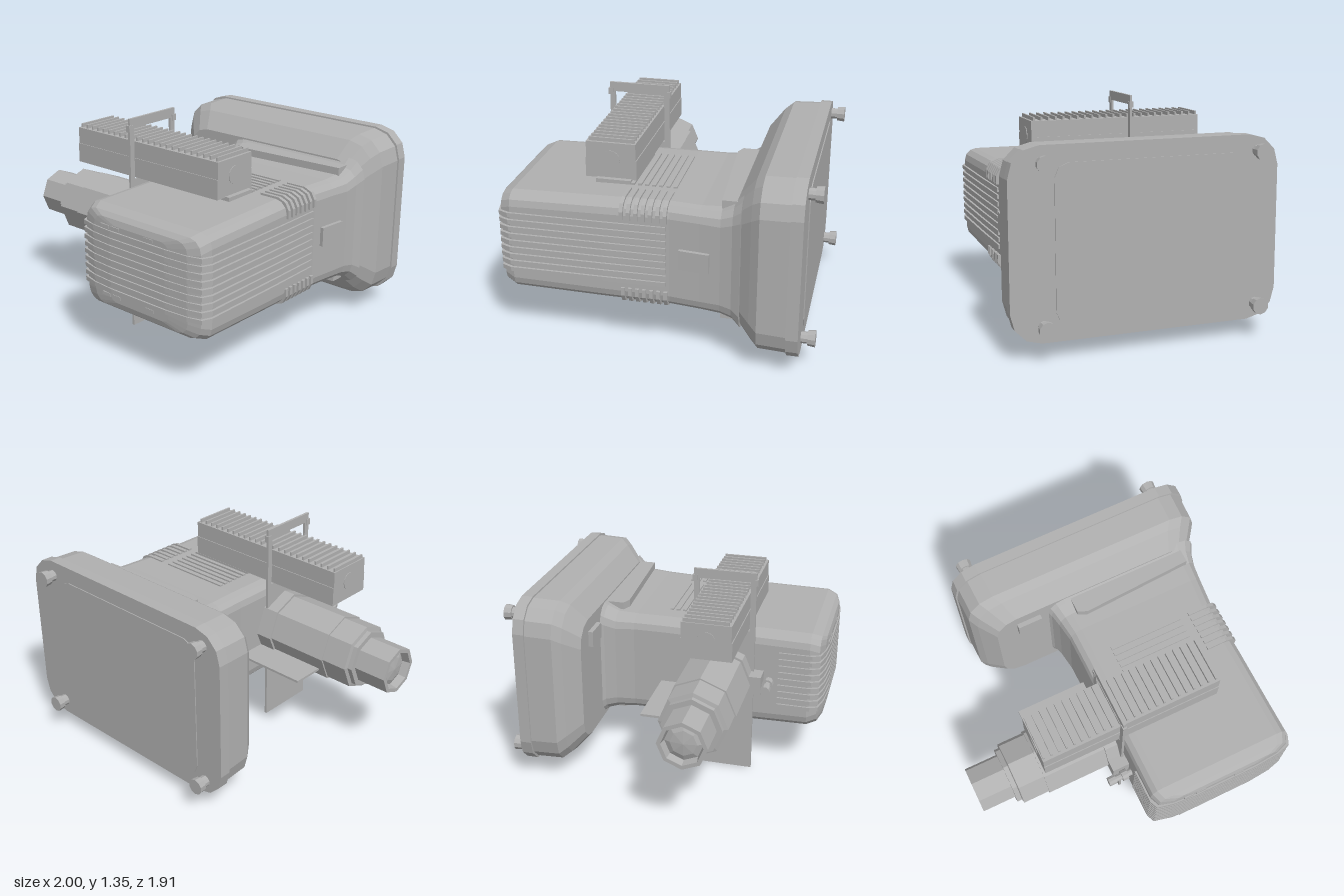
import * as THREE from 'three';

const grey = new THREE.MeshStandardMaterial({ color: 0xb0b0b0, flatShading: true });
grey.name = 'grey';

export function createModel() {
  const root = new THREE.Group();
  root.name = 'baseMountedMachine';

  const add = (name, geometry, parent = root) => {
    const mesh = new THREE.Mesh(geometry, grey);
    mesh.name = name;
    parent.add(mesh);
    return mesh;
  };
  const group = (name) => {
    const g = new THREE.Group();
    g.name = name;
    root.add(g);
    return g;
  };
  // Box given by its extents on each axis
  const box = (name, x0, x1, y0, y1, z0, z1, parent) => add(name,
    new THREE.BoxGeometry(x1 - x0, y1 - y0, z1 - z0)
      .translate((x0 + x1) / 2, (y0 + y1) / 2, (z0 + z1) / 2), parent);
  const polygon = (pts) => new THREE.Shape(pts.map(([x, y]) => new THREE.Vector2(x, y)));
  const extrude = (shape, depth) => new THREE.ExtrudeGeometry(shape, { depth, bevelEnabled: false });

  // Counter-clockwise rounded rectangle
  const roundRect = (x0, x1, y0, y1, r, seg) => {
    const pts = [];
    [[x1 - r, y1 - r], [x0 + r, y1 - r], [x0 + r, y0 + r], [x1 - r, y0 + r]].forEach(([cx, cy], q) => {
      for (let i = 0; i <= seg; i++) {
        const a = (q + i / seg) * Math.PI / 2;
        pts.push([cx + r * Math.cos(a), cy + r * Math.sin(a)]);
      }
    });
    return pts;
  };
  // Skin over rounded sections [z, x0, x1, y0, y1, r], from back to front
  const loft = (sections, seg) => {
    const pos = [], idx = [];
    const n = 4 * (seg + 1), last = (sections.length - 1) * n;
    for (const [z, ...rect] of sections) {
      for (const [x, y] of roundRect(...rect, seg)) pos.push(x, y, z);
    }
    for (let i = 0; i < sections.length - 1; i++) {
      for (let j = 0; j < n; j++) {
        const a = i * n + j, b = i * n + (j + 1) % n;
        idx.push(a, b, b + n, a, b + n, a + n);
      }
    }
    for (let j = 1; j < n - 1; j++) idx.push(0, j + 1, j, last, last + j, last + j + 1);
    const g = new THREE.BufferGeometry();
    g.setAttribute('position', new THREE.Float32BufferAttribute(pos, 3));
    g.setIndex(idx);
    g.computeVertexNormals();
    return g;
  };

  // Wide base with a sloped shoulder
  add('base', loft([
    [-0.87, -0.61, 1.0, 0.1, 1.2, 0.18],
    [-0.8, -0.61, 1.0, 0.1, 1.2, 0.18],
    [-0.799, -0.6, 0.99, 0.11, 1.19, 0.18],
    [-0.63, -0.595, 0.985, 0.115, 1.185, 0.18],
    [-0.58, -0.56, 0.95, 0.15, 1.15, 0.18],
    [-0.49, -0.47, 0.88, 0.25, 1.04, 0.14],
  ], 3));
  add('basePanel', extrude(polygon(roundRect(-0.42, 0.74, 0.19, 1.1, 0.08, 2)), 0.008)).position.z = -0.876;
  box('shoulderPlate', -0.33, -0.17, 0.86, 0.96, -0.5, -0.46);

  // Four knobs on the base
  const knobs = group('baseKnobs');
  for (const x of [-0.48, 0.81]) {
    for (const y of [0.195, 1.105]) {
      const stem = new THREE.CylinderGeometry(0.035, 0.035, 0.06, 10).rotateX(Math.PI / 2);
      add('knobStem', stem.translate(x, y, -0.89), knobs);
      const head = new THREE.CylinderGeometry(0.05, 0.045, 0.045, 10).rotateX(-Math.PI / 2);
      add('knobHead', head.translate(x, y, -0.932), knobs);
    }
  }

  // Main housing with flared neck and rounded nose
  add('housing', loft([
    [-0.52, -0.13, 0.93, 0.23, 1.06, 0.12],
    [-0.47, -0.1, 0.905, 0.28, 1.01, 0.1],
    [-0.4, -0.08, 0.89, 0.3, 0.975, 0.09],
    [-0.28, -0.062, 0.875, 0.308, 0.967, 0.08],
    [-0.1, -0.06, 0.857, 0.31, 0.967, 0.08],
    [0.3, -0.06, 0.865, 0.315, 0.962, 0.08],
    [0.85, -0.06, 0.87, 0.325, 0.952, 0.08],
    [0.91, -0.035, 0.845, 0.345, 0.93, 0.08],
    [0.935, 0.05, 0.77, 0.365, 0.905, 0.07],
    [0.945, 0.18, 0.64, 0.4, 0.87, 0.05],
  ], 3));
  const flange = polygon([[0.04, 0.49], [0.04, 0.38], [0.1, 0.355], [0.82, 0.395], [0.82, 0.49]]);
  add('neckFlange', extrude(flange, 0.755).rotateX(-Math.PI / 2)).position.y = 0.265;

  // Horizontal cooling ribs wrapping the nose and right flank
  const ribs = group('noseRibs');
  const ribPlan = polygon([[0.5, 0.08], [0.868, 0.08], [0.878, -0.3], [0.885, -0.86], [0.86, -0.92],
    [0.77, -0.943], [0.62, -0.955], [0.2, -0.955], [0.05, -0.943], [-0.05, -0.92],
    [-0.072, -0.87], [-0.072, -0.66], [0.5, -0.66]]);
  for (let i = 0; i < 9; i++) {
    add('noseRib', extrude(ribPlan, 0.026).rotateX(-Math.PI / 2), ribs).position.y = 0.455 + i * 0.0445;
  }
  // Small tabs above and below the nose ribs
  for (const x of [0.12, 0.2, 0.46]) {
    for (const y of [0.425, 0.845]) box('noseTab', x, x + 0.065, y, y + 0.02, 0.93, 0.949, ribs);
  }

  // Vent ribs over the upper and lower edges
  const vents = group('edgeVents');
  for (const s of [1, -1]) {
    const outline = [[0.67, 0.24], [0.67, 0.336], [0.8, 0.336], [0.85, 0.315], [0.875, 0.27],
      [0.875, 0.22], [0.8, 0.22]].map(([x, y]) => [x, 0.64 + s * y]);
    for (let i = 0; i < 7; i++) {
      const z = -0.09 + i * 0.0425;
      add('cornerVent', extrude(polygon(outline), 0.022), vents).position.z = z;
      const y = 0.64 + s * 0.32;
      box('flatVent', 0.13, 0.61, y - 0.016, y + 0.016, z, z + 0.022, vents);
    }
  }

  // Underside cover and peg, side latch
  box('undersideCover', 0.2, 0.62, 0.303, 0.325, 0.22, 0.52);
  add('undersidePeg', new THREE.CylinderGeometry(0.02, 0.02, 0.06, 8).translate(0.64, 0.295, -0.04));
  const latch = add('sideLatch', new THREE.BoxGeometry(0.035, 0.12, 0.18));
  latch.position.set(0.877, 0.65, -0.25);
  latch.rotation.y = -0.1;

  // Eight-sided barrel on the right side with a hollow tip
  const profile = [[0, 0.05], [0.235, 0.05], [0.235, 0.17], [0.22, 0.17], [0.22, 0.58], [0.21, 0.58],
    [0.21, 0.75], [0.185, 0.755], [0.185, 0.785], [0.15, 0.785], [0.15, 1], [0.125, 1],
    [0.115, 0.95], [0.08, 0.965], [0, 0.975]].map(([r, t]) => new THREE.Vector2(r, t));
  add('barrel', new THREE.LatheGeometry(profile, 8).rotateZ(Math.PI / 2)).position.set(0, 0.64, 0.285);
  box('barrelShelf', -0.53, -0.06, 0.53, 0.545, -0.1, 0.28);

  // Side bolt
  const bolt = group('sideBolt');
  [[0.022, 0.16, -0.12], [0.03, 0.05, -0.195], [0.035, 0.04, -0.11]].forEach(([r, len, x]) => {
    add('boltPart', new THREE.CylinderGeometry(r, r, len, 10).rotateZ(Math.PI / 2).translate(x, 0.637, 0.605), bolt);
  });
  box('boltLug', -0.17, -0.05, 0.58, 0.7, 0.46, 0.57, bolt);

  // Upright bracket plate with a window at its top
  const plate = polygon([[-0.51, 0], [-0.12, 0], [-0.12, 1.35], [-0.51, 1.35]]);
  plate.holes.push(polygon([[-0.475, 0.97], [-0.475, 1.29], [-0.155, 1.29], [-0.155, 0.97]]));
  add('bracketPlate', extrude(plate, 0.016).rotateY(Math.PI / 2)).position.x = -0.087;
  for (const z of [0.112, 0.488]) box('bracketLug', -0.092, -0.066, 1.27, 1.31, z, z + 0.032);

  // Finned box carried through the bracket
  const sink = group('finnedBox');
  box('finnedBoxBody', -0.575, 0.58, 0.98, 1.1, 0.16, 0.47, sink);
  box('finnedBoxTop', -0.575, 0.58, 1.1, 1.203, 0.165, 0.465, sink);
  for (let i = 0; i < 24; i++) {
    const x = -0.568 + i * 0.0487;
    box('fin', x, x + 0.012, 1.19, 1.226, 0.175, 0.45, sink);
  }
  for (const x of [-0.575, 0.58]) {
    const cap = new THREE.CylinderGeometry(0.055, 0.055, 0.008, 16).rotateZ(Math.PI / 2);
    add('endCap', cap.translate(x, 1.1, 0.315), sink);
  }
  box('finnedBoxFoot', 0.22, 0.61, 0.945, 0.985, 0.19, 0.4, sink);

  return root;
}
